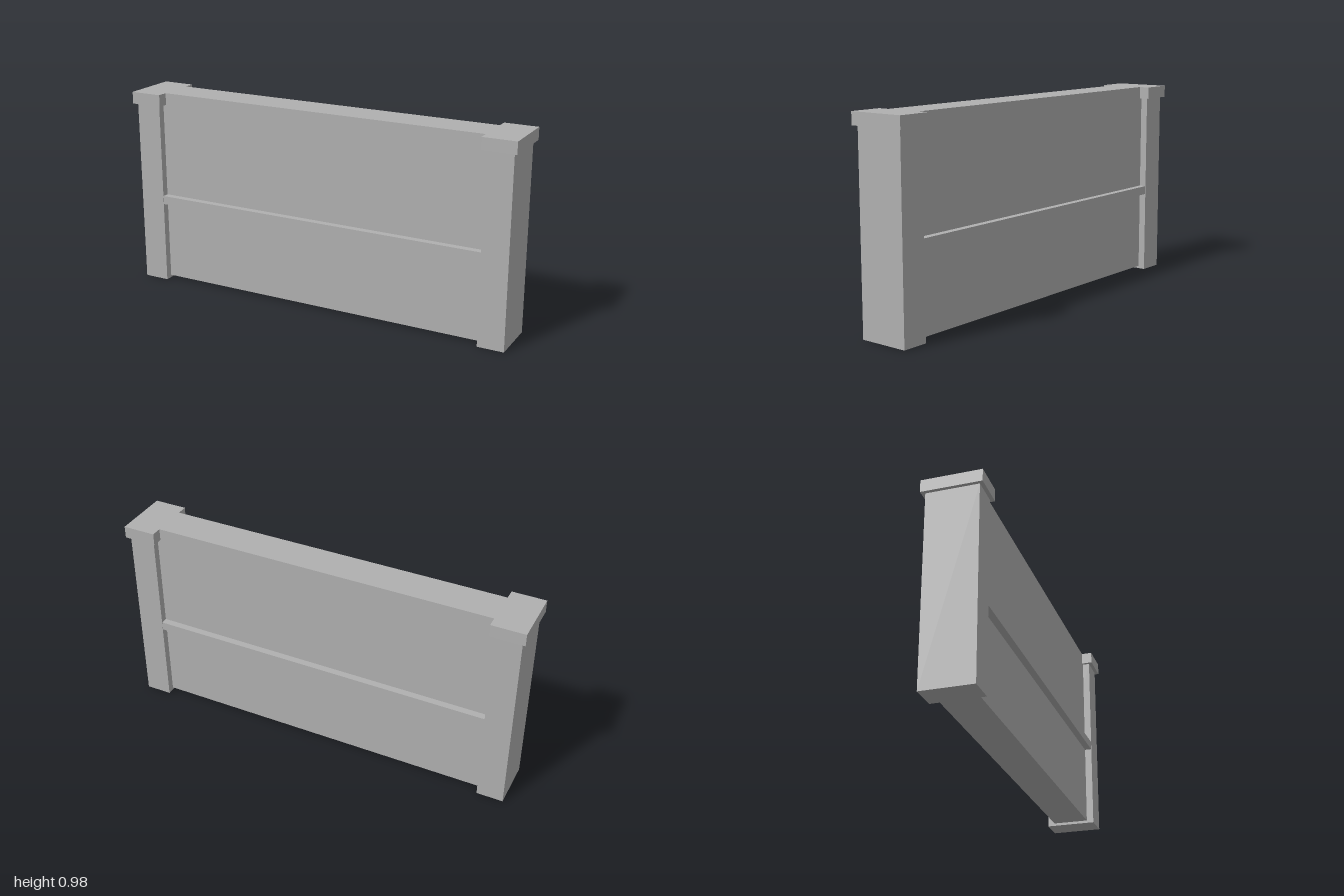
import * as THREE from 'three';

export function createModel() {
  const model = new THREE.Group();
  model.name = 'wallSection';
  const stone = new THREE.MeshStandardMaterial({ color: 0xb0b0b0 });
  stone.name = 'grey stone';

  // Box given by its extents in x and y, centred on z
  const block = (name, x0, x1, y0, y1, depth) => {
    const mesh = new THREE.Mesh(new THREE.BoxGeometry(x1 - x0, y1 - y0, depth), stone);
    mesh.position.set((x0 + x1) / 2, (y0 + y1) / 2, 0);
    mesh.name = name;
    model.add(mesh);
  };

  // Wall panel, its top flush with the caps, and the rail on both faces
  block('wallPanel', -0.855, 0.855, 0.013, 0.981, 0.176);
  block('rail', -0.855, 0.855, 0.411, 0.454, 0.243);

  // End posts with overhanging caps
  for (const [side, s] of [['left', 1], ['right', -1]]) {
    const span = (a, b) => (s > 0 ? [a, b] : [-b, -a]);
    block(side + 'Post', ...span(0.854, 0.983), 0, 0.922, 0.246);
    block(side + 'Cap', ...span(0.838, 1), 0.922, 0.981, 0.282);
  }
  return model;
}
